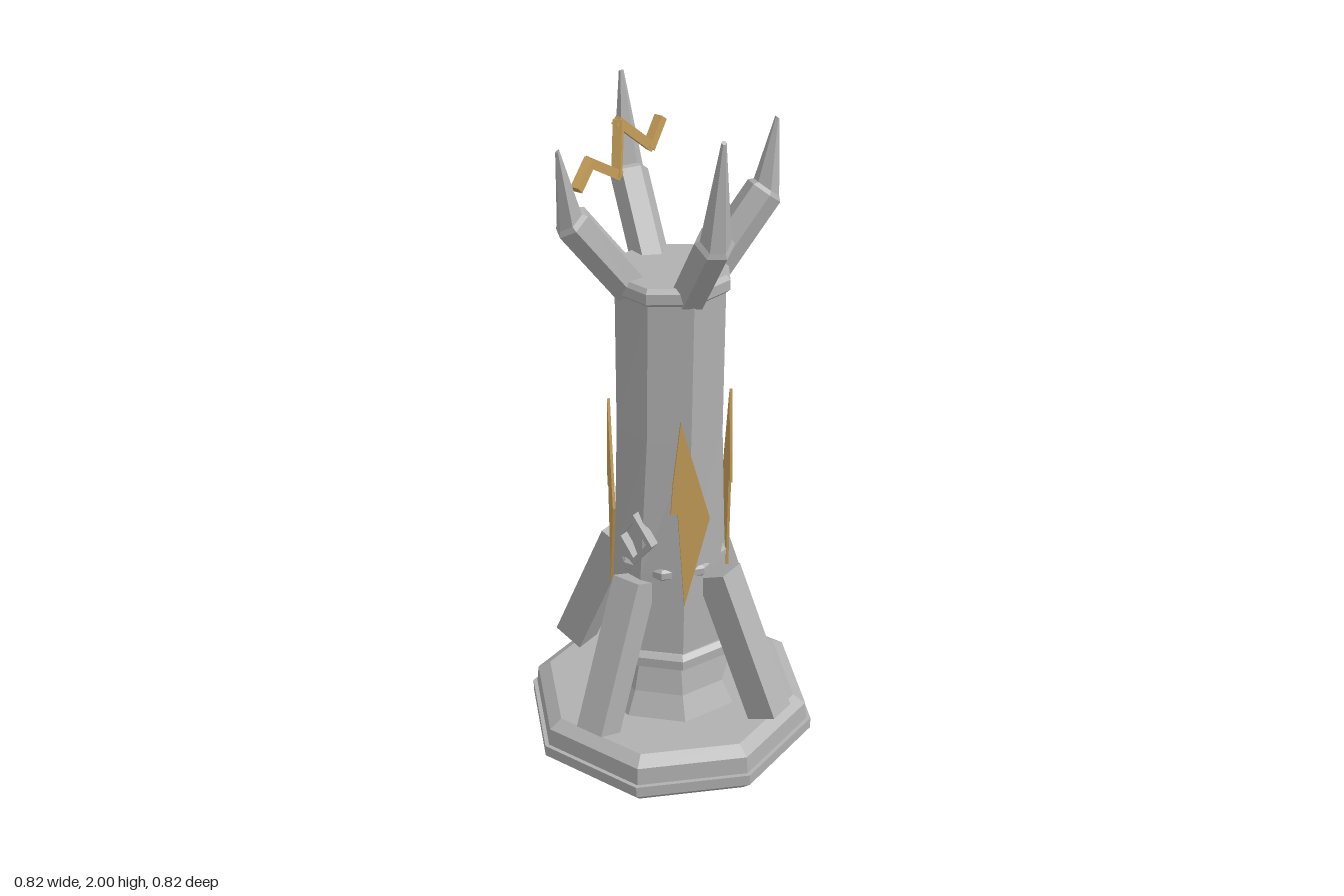
import * as THREE from 'three';

const stone = new THREE.MeshStandardMaterial({ color: 0xb0b0b0 });
stone.name = 'stone grey';
const gold = new THREE.MeshStandardMaterial({ color: 0xc8a05a });
gold.name = 'aged gold';
stone.flatShading = gold.flatShading = true;

const V = (x, y, z) => new THREE.Vector3(x, y, z);

// Closed solid through rings of points, each ring counterclockwise about the path
function loft(rings) {
  const pos = [];
  const tri = (...pts) => pts.forEach(p => pos.push(p.x, p.y, p.z));
  const n = rings[0].length;
  const middle = ring => ring.reduce((s, p) => s.add(p), V(0, 0, 0)).divideScalar(n);
  const last = rings[rings.length - 1];
  const c0 = middle(rings[0]), c1 = middle(last);
  for (let i = 0; i < n; i++) {
    const j = (i + 1) % n;
    for (let k = 0; k < rings.length - 1; k++) {
      const a = rings[k], b = rings[k + 1];
      tri(a[i], a[j], b[j]);
      tri(a[i], b[j], b[i]);
    }
    tri(c0, rings[0][j], rings[0][i]);
    tri(c1, last[i], last[j]);
  }
  const g = new THREE.BufferGeometry();
  g.setAttribute('position', new THREE.Float32BufferAttribute(pos, 3));
  g.computeVertexNormals();
  return g;
}

// Eight-sided solid from rows of [height, corner radius, turn in degrees]
function octagon(rows) {
  return loft(rows.map(([y, r, deg]) => Array.from({ length: 8 }, (_, i) => {
    const a = THREE.MathUtils.degToRad(deg) + i * Math.PI / 4;
    return V(r * Math.sin(a), y, r * Math.cos(a));
  })));
}

// Hexagonal bar that ends in a blunt spike
function prongGeometry(tipY) {
  const foot = V(0.035, 1.505, 0.118), head = V(0.07, 1.715, 0.275), tip = V(0.084, tipY, 0.31);
  const axis = head.clone().sub(foot).normalize();
  const u = V(1, 0, 0).addScaledVector(axis, -axis.x).normalize();
  const v = axis.clone().cross(u);
  const ring = (c, r) => Array.from({ length: 6 }, (_, i) => {
    const a = i * Math.PI / 3;
    return c.clone().addScaledVector(u, r * Math.cos(a)).addScaledVector(v, r * Math.sin(a));
  });
  const neck = head.clone().addScaledVector(axis, 0.012);
  return loft([ring(foot, 0.055), ring(head, 0.055), ring(neck, 0.043), ring(tip, 0.007)]);
}

function polygon(points) {
  return new THREE.Shape(points.map(([x, y]) => new THREE.Vector2(x, y)));
}

export function createModel() {
  const model = new THREE.Group();
  const add = (name, geometry, material, parent = model) => {
    const mesh = new THREE.Mesh(geometry, material);
    mesh.name = name;
    parent.add(mesh);
    return mesh;
  };
  const turned = (name, angle) => {
    const g = new THREE.Group();
    g.name = name;
    g.rotation.y = angle;
    model.add(g);
    return g;
  };

  // Stepped base with flat sides to the front and sides
  const k = 1 / Math.cos(Math.PI / 8);
  add('base', octagon([[0, 0.375], [0.035, 0.41], [0.07, 0.41], [0.07, 0.398],
    [0.125, 0.393], [0.15, 0.357]].map(([y, r]) => [y, r * k, 22.5])), stone);

  // Flared foot, bands and slowly twisting column
  add('columnFoot', octagon([[0.15, 0.228, 2], [0.22, 0.19, 2], [0.32, 0.165, 2]]), stone);
  add('lowerBand', octagon([[0.305, 0.18, 2], [0.315, 0.195, 2], [0.345, 0.195, 2], [0.36, 0.18, 2]]), stone);
  add('column', octagon([[0.32, 0.176, 3], [0.63, 0.169, 5], [1.07, 0.163, 12], [1.5, 0.165, 14]]), stone);
  add('middleBand', octagon([[0.612, 0.16, 27], [0.62, 0.168, 27], [0.64, 0.168, 27], [0.648, 0.16, 27]]), stone);
  add('crownRim', octagon([[1.485, 0.163, 14], [1.497, 0.177, 14], [1.527, 0.177, 14], [1.54, 0.166, 14]]), stone);

  // Leaning buttresses on the diagonals
  for (let i = 0; i < 4; i++) {
    const g = turned('buttressMount', Math.PI / 4 + i * Math.PI / 2);
    const b = add('buttress', new THREE.BoxGeometry(0.09, 0.47, 0.1), stone, g);
    b.position.set(0, 0.395, 0.27);
    b.rotation.x = -0.416;
  }

  // Prongs and gold shards, one on each side
  const shard = new THREE.ExtrudeGeometry(polygon([
    [0, 1.145], [-0.022, 0.95], [-0.028, 0.85], [-0.008, 0.85], [0.012, 0.535], [0.085, 0.83],
  ]), { depth: 0.008, bevelEnabled: false });
  for (let i = 0; i < 4; i++) {
    const g = turned('side', i * Math.PI / 2);
    add('prong', prongGeometry(i % 2 ? 1.92 : 2), stone, g);
    add('goldShard', shard, gold, g).position.z = 0.173;
  }

  // Open diamond frames on two opposite corners
  const frame = polygon([[0, -0.085], [0.066, 0], [0, 0.085], [-0.066, 0]]);
  frame.holes.push(polygon([[0, -0.06], [-0.045, 0], [0, 0.06], [0.045, 0]]));
  const frameGeometry = new THREE.ExtrudeGeometry(frame, { depth: 0.03, bevelEnabled: false });
  for (const angle of [-Math.PI / 4, Math.PI * 3 / 4]) {
    add('diamondFrame', frameGeometry, stone, turned('frameMount', angle)).position.set(0, 0.745, 0.153);
  }

  // Zigzag bolt floating between the prongs
  const bolt = [V(-0.25, 1.785, 0), V(-0.212, 1.838, -0.042), V(-0.132, 1.785, -0.083),
    V(-0.122, 1.922, -0.11), V(-0.03, 1.835, -0.155), V(0.003, 1.897, -0.186)];
  for (let i = 0; i < bolt.length - 1; i++) {
    const length = bolt[i].distanceTo(bolt[i + 1]);
    const s = add('boltSegment', new THREE.BoxGeometry(0.026, 0.026, length + 0.016), gold);
    s.position.copy(bolt[i]).lerp(bolt[i + 1], 0.5);
    s.lookAt(bolt[i + 1]);
  }
  return model;
}
